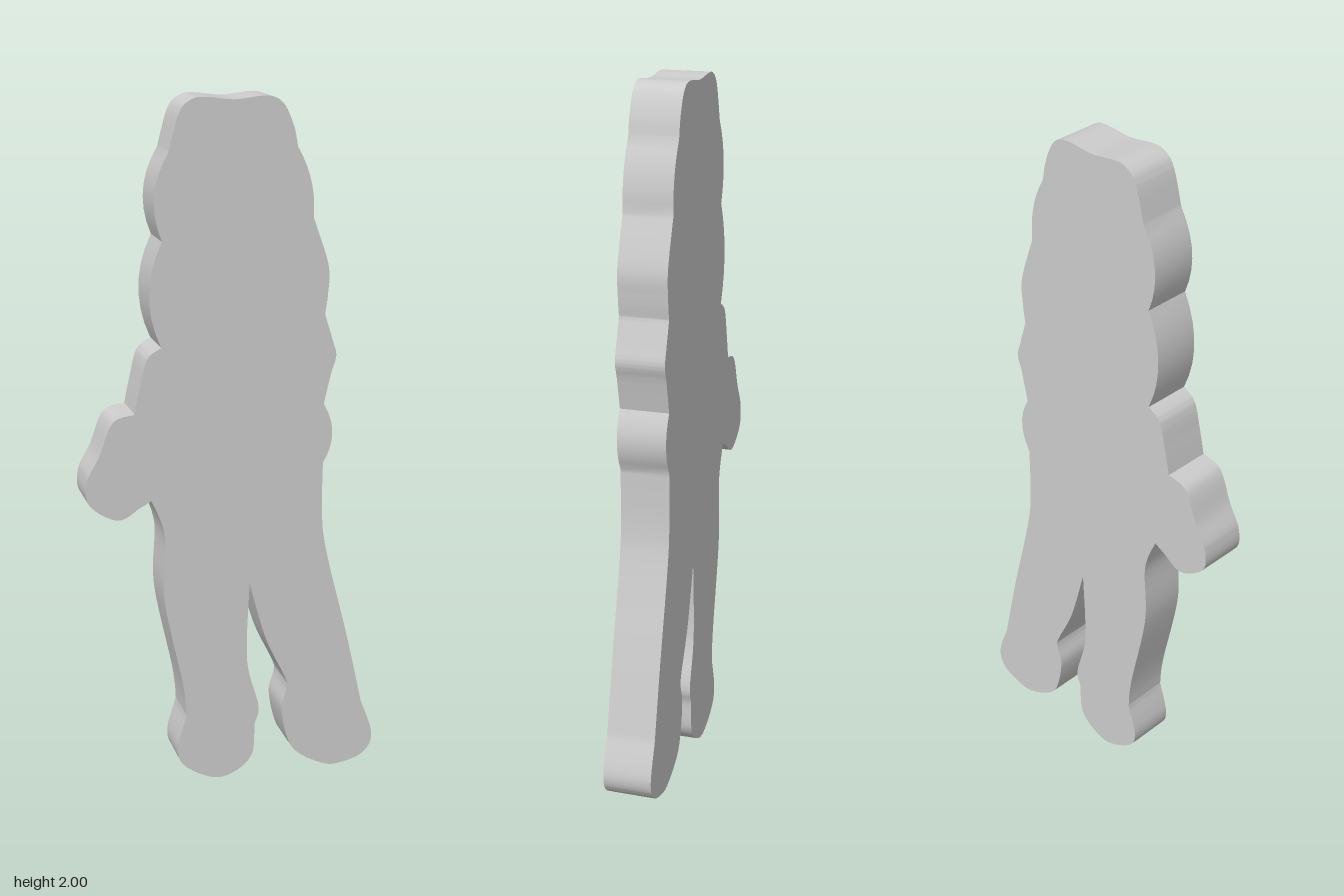
import * as THREE from 'three';
import { toCreasedNormals } from 'three/addons/utils/BufferGeometryUtils.js';

const THICKNESS = 0.142;

// Smooth stretch from the current point through the given x, y pairs.
function sweep(shape, ...pairs) {
  shape.splineThru(pairs.map(([x, y]) => new THREE.Vector2(x, y)));
}

// Single rounded wave to (x, y), swelling outwards by the given depth.
function wave(shape, x, y, depth) {
  const from = shape.currentPoint;
  const dx = x - from.x, dy = y - from.y;
  const k = 2 * depth / Math.hypot(dx, dy);
  shape.quadraticCurveTo(from.x + dx / 2 + dy * k, from.y + dy / 2 - dx * k, x, y);
}

// Outline, counter-clockwise from the top of the gap between the legs.
function figureOutline() {
  const s = new THREE.Shape();
  s.moveTo(0.045, 0.605);

  // left leg: inner side and foot, then outer side up to the hip
  sweep(s, [0.095, 0.43], [0.155, 0.3], [0.16, 0.265], [0.145, 0.2], [0.165, 0.1], [0.2, 0.05],
    [0.27, 0.011], [0.32, 0.003], [0.4, 0.028], [0.428, 0.09], [0.392, 0.2]);
  sweep(s, [0.345, 0.41], [0.28, 0.67], [0.262, 0.79], [0.262, 0.955]);

  // left arm and hair waves
  wave(s, 0.262, 1.13, 0.027);
  sweep(s, [0.283, 1.22], [0.297, 1.27], [0.284, 1.32], [0.262, 1.39]);
  sweep(s, [0.27, 1.45], [0.27, 1.53], [0.225, 1.665]);
  wave(s, 0.178, 1.86, 0.016);

  // crown of the head
  sweep(s, [0.165, 1.92], [0.135, 1.98], [0.09, 2], [0, 1.992], [-0.08, 2], [-0.12, 1.995],
    [-0.155, 1.96], [-0.185, 1.855]);

  // right hair waves
  wave(s, -0.205, 1.615, 0.031);
  wave(s, -0.21, 1.32, 0.035);

  // right sleeve and hand
  sweep(s, [-0.25, 1.29], [-0.272, 1.21], [-0.288, 1.135]);
  sweep(s, [-0.35, 1.115], [-0.39, 1.02], [-0.425, 0.95], [-0.42, 0.88], [-0.34, 0.83],
    [-0.275, 0.862], [-0.243, 0.88]);

  // right leg: outer side, then foot and inner side
  sweep(s, [-0.205, 0.77], [-0.208, 0.58], [-0.155, 0.31], [-0.145, 0.21]);
  sweep(s, [-0.172, 0.11], [-0.15, 0.05], [-0.06, 0.003], [0.01, 0.02], [0.055, 0.07],
    [0.062, 0.16], [0.073, 0.22], [0.038, 0.37], [0.045, 0.605]);
  return s;
}

export function createModel() {
  const group = new THREE.Group();
  group.name = 'figureCutout';

  // flat standing figure, cut from a thick slab
  const slab = new THREE.ExtrudeGeometry(figureOutline(), {
    depth: THICKNESS, bevelEnabled: false, curveSegments: 7,
  });
  slab.translate(0, 0, -THICKNESS / 2);

  const figure = new THREE.Mesh(
    toCreasedNormals(slab, THREE.MathUtils.degToRad(35)),
    new THREE.MeshStandardMaterial({ color: 0xcccccc }),
  );
  figure.name = 'standingFigure';
  group.add(figure);
  return group;
}
